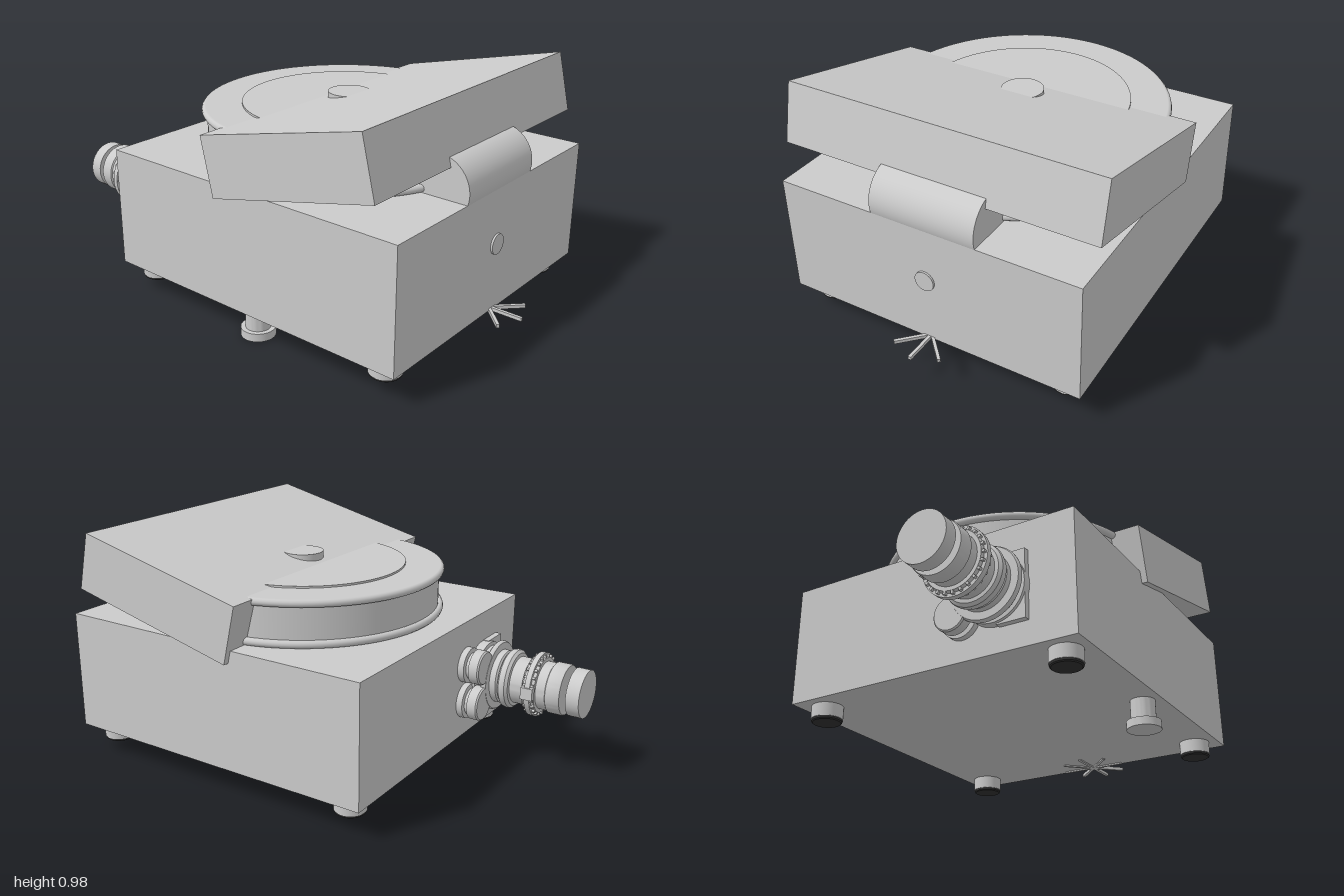
import * as THREE from 'three';
import { toCreasedNormals } from 'three/addons/utils/BufferGeometryUtils.js';

export function createModel() {
  const model = new THREE.Group();
  const grey = new THREE.MeshStandardMaterial({ color: 0xcccccc });
  const rubber = new THREE.MeshStandardMaterial({ color: 0x333333 });

  function add(name, geometry, x, y, z, material = grey, parent = model) {
    const mesh = new THREE.Mesh(geometry, material);
    mesh.name = name;
    mesh.position.set(x, y, z);
    parent.add(mesh);
    return mesh;
  }
  const box = (w, h, d) => new THREE.BoxGeometry(w, h, d);
  const cyl = (r, h, seg = 40) => new THREE.CylinderGeometry(r, r, h, seg);
  const cylX = (r, h) => cyl(r, h).rotateZ(-Math.PI / 2);
  // Turned part from [radius, height] pairs, with crisp steps
  const turned = (pairs, seg = 48) => toCreasedNormals(
    new THREE.LatheGeometry(pairs.map(([r, y]) => new THREE.Vector2(r, y)), seg), 0.6);

  // Housing
  add('housing', box(1.4, 0.5, 1.28), 0.17, 0.37, 0);

  // Round chamber with two rolled rims, a raised disc and a knob
  const cx = 0.15;
  add('chamberWall', cyl(0.56, 0.19, 96), cx, 0.715, 0);
  for (const y of [0.636, 0.796]) {
    add('chamberRim', new THREE.TorusGeometry(0.565, 0.016, 12, 96).rotateX(Math.PI / 2), cx, y, 0);
  }
  add('chamberTop', cyl(0.565, 0.02, 96), cx, 0.802, 0);
  add('raisedDisc', cyl(0.42, 0.02, 80), cx, 0.81, 0);
  add('topKnob', cyl(0.085, 0.06), 0.163, 0.826, 0);

  // Tilted cover and its hinge barrel
  add('cover', box(0.763, 0.243, 1.33), 0.395, 0.775, 0).rotation.z = 0.232;
  add('hingeBarrel', cyl(0.13, 0.445, 64).rotateX(Math.PI / 2), 0.746, 0.658, 0);

  // Button on the side
  add('sideButton', cylX(0.041, 0.03), 0.863, 0.395, 0);

  // Star of spokes at the lower edge
  const star = new THREE.Group();
  star.name = 'star';
  star.position.set(0.855, 0.121, 0);
  model.add(star);
  for (let i = 0; i < 8; i++) {
    const spoke = box(0.145, 0.014, 0.013).translate(0.0725, 0, 0).rotateY(i * Math.PI / 4);
    add('spoke', spoke, 0, 0, 0, grey, star);
  }

  // Four corner feet with rubber soles
  for (const x of [-0.43, 0.765]) {
    for (const z of [-0.54, 0.54]) {
      add('foot', cyl(0.064, 0.06), x, 0.095, z);
      add('footSole', turned([[0, 0], [0.056, 0], [0.061, 0.004], [0.061, 0.014], [0, 0.014]]), x, 0.053, z, rubber);
    }
  }

  // Front levelling leg
  add('levellingLeg', turned([[0, 0], [0.069, 0], [0.069, 0.034], [0.05, 0.034], [0.05, 0.13]]), 0.168, 0, 0.56);

  // Hose connection on the side, turned around the x axis
  const py = 0.358, pz = 0.32;
  const pipe = [
    [0, -0.92], [0.103, -0.92], [0.106, -0.915], [0.106, -0.862], [0.1, -0.858],
    [0.1, -0.818], [0.115, -0.818], [0.12, -0.808], [0.12, -0.772], [0.115, -0.765],
    [0.098, -0.765], [0.098, -0.705], [0.112, -0.703], [0.123, -0.692], [0.125, -0.68],
    [0.122, -0.667], [0.112, -0.658], [0.102, -0.655], [0.112, -0.648], [0.112, -0.622],
    [0.142, -0.621], [0.147, -0.612], [0.147, -0.603], [0.14, -0.597], [0.12, -0.595],
    [0.12, -0.57], [0.135, -0.568], [0.135, -0.52]
  ];
  add('hoseConnector', turned(pipe, 64).rotateZ(-Math.PI / 2), 0, py, pz);
  add('hoseEnd', cylX(0.1, 0.055), -0.9725, py, pz);

  // Hose clamp band with ridges and a screw block
  add('clampBand', cylX(0.134, 0.022), -0.795, py, pz);
  for (let i = 0; i < 24; i++) {
    const a = i * Math.PI / 12;
    add('clampRidge', box(0.046, 0.012, 0.01), -0.795, py + 0.122 * Math.cos(a), pz + 0.122 * Math.sin(a)).rotation.x = a;
  }
  add('clampScrew', box(0.05, 0.05, 0.026), -0.795, py, pz - 0.125);

  // Two small side ports beside the hose
  for (const y of [0.435, 0.278]) {
    const port = [[0, -0.62], [0.066, -0.62], [0.071, -0.614], [0.071, -0.575], [0.055, -0.573],
      [0.055, -0.558], [0.074, -0.556], [0.074, -0.52]];
    add('sidePort', turned(port, 40).rotateZ(-Math.PI / 2), 0, y, 0.172);
    add('portBracket', box(0.03, 0.12, 0.12), -0.54, y, 0.39);
  }
  return model;
}
